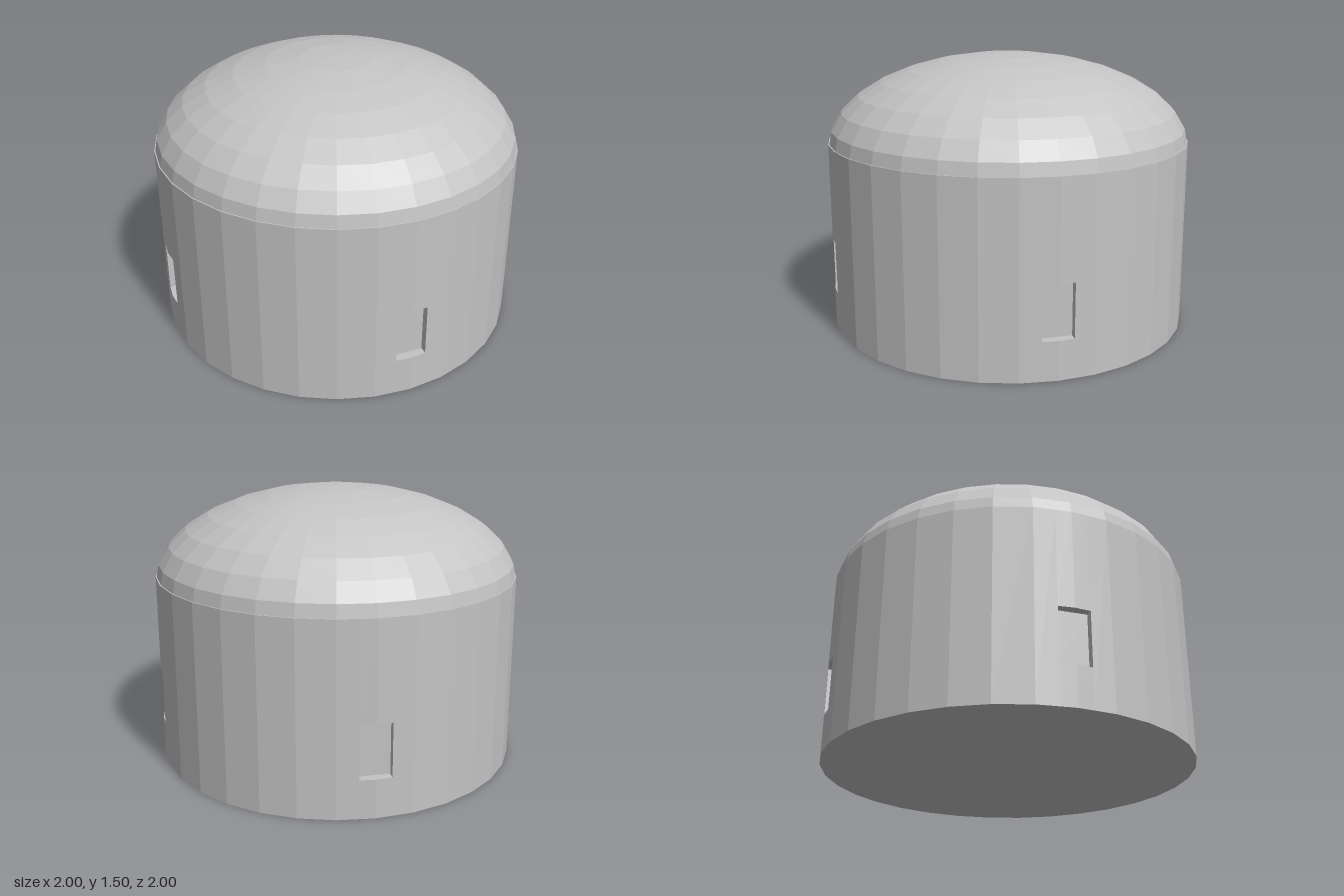
import * as THREE from 'three';

const SIDES = 32, WALL_TOP = 1.03, DOME_BASE = 1, DOME_RISE = 0.5;
const WIN_HALF = 0.083, WIN_LOW = 0.21, WIN_HIGH = 0.5, WIN_BACK = 0.95;

// Flat-faced geometry from convex polygons, corners counter-clockwise from outside
function fromPolygons(polygons) {
  const pos = [];
  for (const p of polygons)
    for (let i = 1; i < p.length - 1; i++) pos.push(...p[0], ...p[i], ...p[i + 1]);
  const geo = new THREE.BufferGeometry();
  geo.setAttribute('position', new THREE.Float32BufferAttribute(pos, 3));
  geo.computeVertexNormals();
  return geo;
}

// Upright rectangle between two plan points [x, z]
const upright = (a, b, y0, y1) =>
  [[a[0], y0, a[1]], [b[0], y0, b[1]], [b[0], y1, b[1]], [a[0], y1, a[1]]];

export function createModel() {
  const model = new THREE.Group();
  const grey = new THREE.MeshStandardMaterial({ color: 0xc4c4c4 });
  grey.name = 'stone grey';
  const add = (name, geo, parent = model) => {
    const mesh = new THREE.Mesh(geo, grey);
    mesh.name = name;
    parent.add(mesh);
    return mesh;
  };

  // Plan points of one quarter, from one window's left edge to the next
  const corner = (k) => {
    const a = (k / SIDES) * Math.PI * 2;
    return [Math.sin(a), Math.cos(a)];
  };
  const [cx, cz] = corner(1);
  const edgeZ = 1 - (WIN_HALF / cx) * (1 - cz);
  const left = [-WIN_HALF, edgeZ], right = [WIN_HALF, edgeZ], mid = [0, 1];
  const plan = [left, mid, right];
  for (let k = 1; k < SIDES / 4; k++) plan.push(corner(k));
  plan.push([edgeZ, WIN_HALF]);

  // Wall faces, left open at the window
  const wall = [];
  for (let i = 0; i < plan.length - 1; i++) {
    if (i < 2) {
      wall.push(upright(plan[i], plan[i + 1], 0, WIN_LOW));
      wall.push(upright(plan[i], plan[i + 1], WIN_HIGH, WALL_TOP));
    } else wall.push(upright(plan[i], plan[i + 1], 0, WALL_TOP));
  }
  const wallGeo = fromPolygons(wall);

  // Shallow window recess: back, jambs, sill and lintel
  const backL = [-WIN_HALF, WIN_BACK], backR = [WIN_HALF, WIN_BACK];
  const outline = [backL, left, mid, right, backR];
  const recessGeo = fromPolygons([
    upright(backL, backR, WIN_LOW, WIN_HIGH),
    upright(left, backL, WIN_LOW, WIN_HIGH),
    upright(backR, right, WIN_LOW, WIN_HIGH),
    outline.map(([x, z]) => [x, WIN_LOW, z]),
    outline.map(([x, z]) => [x, WIN_HIGH, z]).reverse(),
  ]);

  for (let q = 0; q < 4; q++) {
    const quarter = new THREE.Group();
    quarter.name = 'wallQuarter' + (q + 1);
    quarter.rotation.y = (q * Math.PI) / 2;
    add('wall', wallGeo, quarter);
    add('windowRecess', recessGeo, quarter);
    model.add(quarter);
  }

  // Faceted dome
  const dome = new THREE.SphereGeometry(1, SIDES, 8, 0, Math.PI * 2, 0, Math.PI / 2)
    .scale(1, DOME_RISE, 1).translate(0, DOME_BASE, 0).toNonIndexed();
  dome.computeVertexNormals();
  add('dome', dome);

  // Narrow ledge on top of the wall, and the floor underneath
  add('wallLedge', new THREE.RingGeometry(0.985, 1, SIDES).rotateX(-Math.PI / 2).translate(0, WALL_TOP, 0));
  add('floor', new THREE.CircleGeometry(1, SIDES).rotateX(Math.PI / 2));

  return model;
}
